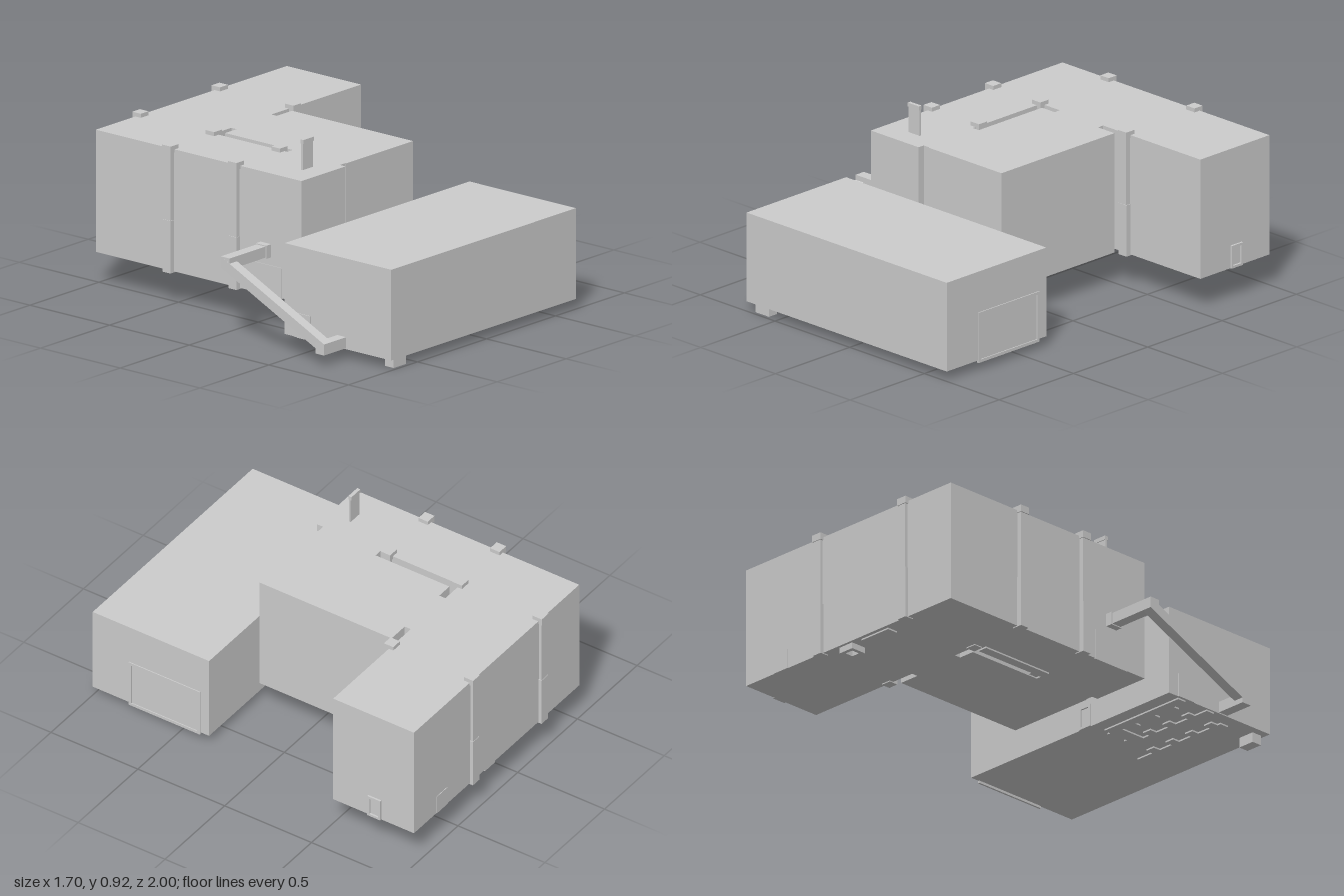
import * as THREE from 'three';

export function createModel() {
  const root = new THREE.Group();
  const mat = new THREE.MeshStandardMaterial({ color: 0xcccccc, flatShading: true });

  const add = (name, geo, parent = root) => {
    const mesh = new THREE.Mesh(geo, mat);
    mesh.name = name;
    parent.add(mesh);
    return mesh;
  };
  const group = (name) => {
    const g = new THREE.Group();
    g.name = name;
    root.add(g);
    return g;
  };
  // Box given by its limits on each axis
  const box = (name, x0, x1, y0, y1, z0, z1, parent) => {
    const m = add(name, new THREE.BoxGeometry(x1 - x0, y1 - y0, z1 - z0), parent);
    m.position.set((x0 + x1) / 2, (y0 + y1) / 2, (z0 + z1) / 2);
    return m;
  };
  // Rectangular frame, w by h by d, standing on its origin
  const frame = (name, w, h, d, t) => {
    const s = new THREE.Shape([[-w / 2, 0], [w / 2, 0], [w / 2, h], [-w / 2, h]]
      .map(([x, y]) => new THREE.Vector2(x, y)));
    s.holes.push(new THREE.Path([[-w / 2 + t, t], [-w / 2 + t, h - t], [w / 2 - t, h - t], [w / 2 - t, t]]
      .map(([x, y]) => new THREE.Vector2(x, y))));
    return add(name, new THREE.ExtrudeGeometry(s, { depth: d, bevelEnabled: false }));
  };

  // Main building: plan in x, z, with a narrow slot between its wings
  const floor = 0.165, roof = 0.77;
  const plan = (pts) => pts.map(([x, z]) => new THREE.Vector2(x, -z));
  const outline = new THREE.Shape(plan([
    [-0.545, 0.31], [-0.225, 0.31], [-0.225, 0.275], [-0.185, 0.275], [-0.185, 0.28],
    [0.3, 0.28], [0.3, -0.48], [0.19, -0.48], [0.19, -0.515], [0.84, -0.515],
    [0.84, -0.98], [-0.545, -0.98],
  ]));
  outline.holes.push(new THREE.Path(plan([
    [-0.225, -0.055], [-0.225, -0.515], [-0.1, -0.515], [-0.1, -0.48], [-0.185, -0.48], [-0.185, -0.055],
  ])));
  const mainGeo = new THREE.ExtrudeGeometry(outline, { depth: roof - floor, bevelEnabled: false });
  mainGeo.rotateX(-Math.PI / 2);
  add('mainBuilding', mainGeo).position.y = floor;

  // Front building and its foot
  box('frontBuilding', -0.69, 0.65, 0.05, 0.5, 0.33, 1);
  box('frontFoot', -0.65, -0.56, 0, 0.06, 0.925, 0.98);

  // Wall columns with caps
  const columns = group('columns');
  const spots = [
    [-0.23, -0.973], [0.345, -0.973], [-0.545, -0.513], [-0.23, -0.513],
    [0.345, -0.513], [-0.545, -0.1], [-0.23, -0.1],
  ];
  for (const [x, z] of spots) {
    box('columnShaft', x - 0.023, x + 0.023, 0.16, roof, z - 0.023, z + 0.023, columns);
    box('columnBase', x - 0.027, x + 0.027, 0.16, 0.42, z - 0.025, z + 0.025, columns);
    box('columnCap', x - 0.028, x + 0.028, 0.755, 0.79, z - 0.027, z + 0.027, columns);
  }

  // Chimney plate on the roof
  box('chimney', -0.405, -0.33, 0.76, 0.92, 0.188, 0.198);
  box('chimneyCap', -0.405, -0.33, 0.9, 0.92, 0.184, 0.202);

  // Short passage between the buildings
  box('passage', -0.51, -0.27, 0.22, 0.34, 0.3, 0.34);

  // Sloping square duct joining the two side walls
  const duct = group('duct');
  const hw = 0.0275;
  box('ductUpperArm', -0.84, -0.54, 0.36, 0.415, 0.06, 0.115, duct);
  box('ductCollar', -0.58, -0.54, 0.355, 0.42, 0.054, 0.121, duct);
  box('ductLowerArm', -0.85, -0.69, 0.055, 0.11, 0.662, 0.717, duct);
  const run = new THREE.BoxGeometry(2 * hw, 2 * hw, 1);
  const pos = run.attributes.position;
  for (let i = 0; i < pos.count; i++) {
    const low = pos.getZ(i) > 0;
    pos.setXYZ(i, pos.getX(i) + (low ? -0.8225 : -0.8125),
      pos.getY(i) + (low ? 0.0825 : 0.3875), low ? 0.717 : 0.06);
  }
  run.computeVertexNormals();
  add('ductRun', run, duct);

  // Door and window frames
  const mainDoor = frame('mainDoorFrame', 0.075, 0.115, 0.015, 0.012);
  mainDoor.rotation.y = Math.PI / 2;
  mainDoor.position.set(0.835, floor, -0.755);
  const gate = frame('gateFrame', 0.41, 0.255, 0.01, 0.015);
  gate.rotation.y = Math.PI / 2;
  gate.position.set(0.645, 0.038, 0.585);
  const backDoor = frame('backDoorFrame', 0.075, 0.115, 0.012, 0.012);
  backDoor.position.set(-0.125, 0.05, 0.322);
  box('sidePanel', -0.695, -0.685, 0.05, 0.17, 0.39, 0.495);
  box('rearPanel', 0.56, 0.65, floor, 0.265, -0.983, -0.975);
  box('wallPanel', -0.549, -0.54, 0.16, 0.315, -0.02, 0.19);

  // Underside plates of the front building
  const plates = group('undersidePlates');
  box('plateFront', -0.62, -0.06, 0.042, 0.055, 0.74, 0.79, plates);
  box('plateMiddle', -0.68, -0.2, 0.042, 0.055, 0.59, 0.64, plates);
  box('plateBack', -0.68, -0.18, 0.042, 0.055, 0.4, 0.45, plates);
  box('plateLink', -0.25, -0.18, 0.042, 0.055, 0.44, 0.6, plates);
  for (let i = 0; i < 4; i++) {
    const x = -0.6 + i * 0.13;
    for (const z of [0.7, 0.55, 0.44]) box('plateTooth', x, x + 0.05, 0.042, 0.055, z, z + 0.045, plates);
  }

  // Underside of the main building: slot edge, patch and square ring foot
  box('slotPlate', -0.275, -0.225, 0.157, 0.17, -0.48, -0.06, plates);
  box('rearPlate', -0.1, 0.08, 0.157, 0.17, -0.96, -0.9, plates);
  const ring = frame('ringFoot', 0.085, 0.085, 0.035, 0.02);
  ring.rotation.x = Math.PI / 2;
  ring.position.set(0.18, 0.17, -0.965);

  return root;
}
